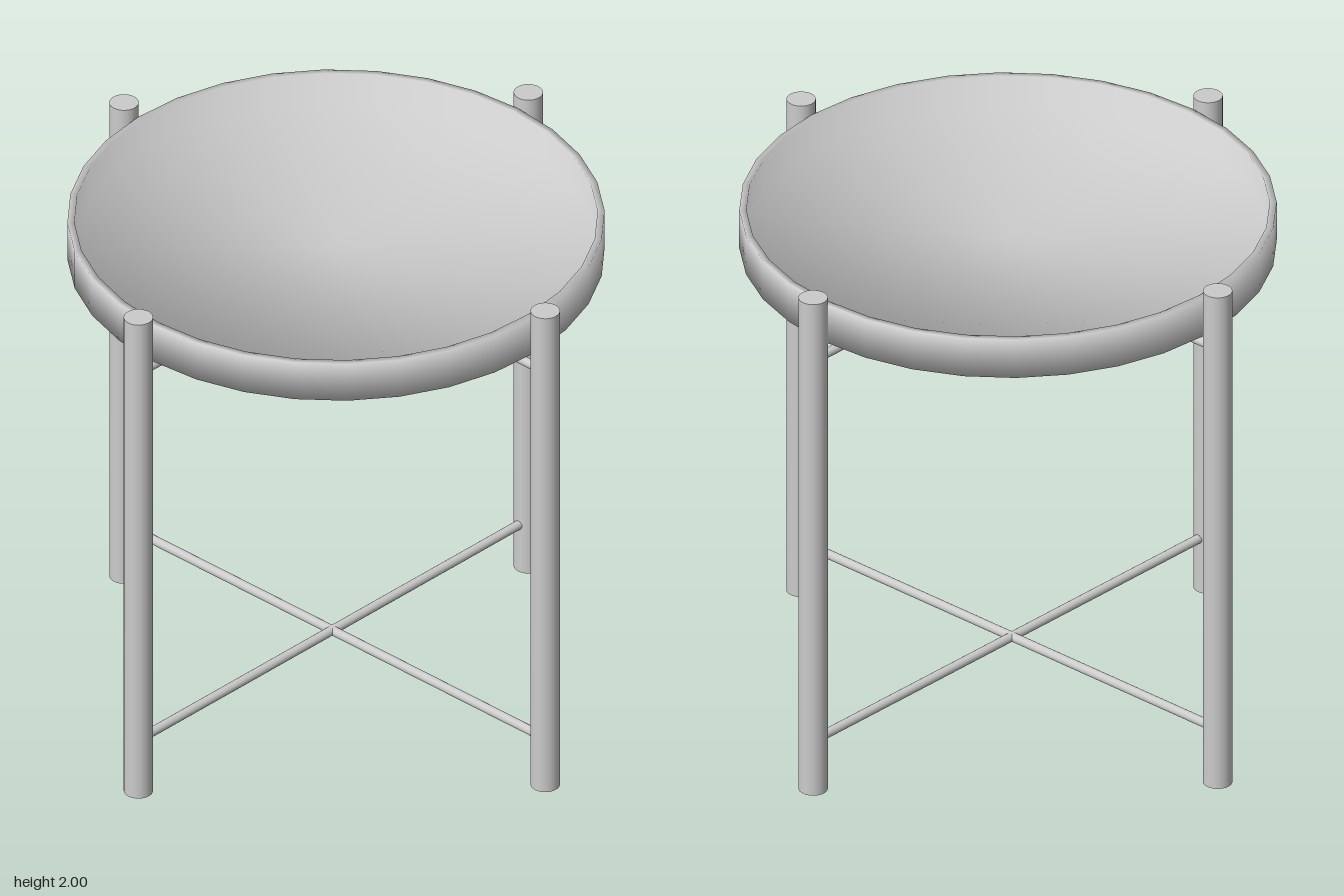
import * as THREE from 'three';

const material = new THREE.MeshStandardMaterial({ color: 0xcccccc });

// Round bar running between two points
function bar(name, from, to, radius, sides) {
  const a = new THREE.Vector3(...from);
  const b = new THREE.Vector3(...to);
  const mesh = new THREE.Mesh(new THREE.CylinderGeometry(radius, radius, a.distanceTo(b), sides), material);
  mesh.position.addVectors(a, b).multiplyScalar(0.5);
  mesh.quaternion.setFromUnitVectors(new THREE.Vector3(0, 1, 0), b.sub(a).normalize());
  mesh.name = name;
  return mesh;
}

// Shallow round tray with a thin upright rim and softly shaded corners
function createTray() {
  // radius, height, then the outward direction of the normal
  const profile = [
    [0, 1.8, 0, -1],
    [0.95, 1.8, 1, -1],
    [0.95, 1.955, 1, 1],
    [0.925, 1.955, -1, 1],
    [0.925, 1.825, -1, 1],
    [0, 1.825, 0, 1],
  ];
  const geometry = new THREE.LatheGeometry(profile.map(([r, y]) => new THREE.Vector2(r, y)), 32);
  const normal = new THREE.Vector3();
  for (let i = 0; i < geometry.attributes.normal.count; i++) {
    const [, , out, up] = profile[i % profile.length];
    const angle = Math.floor(i / profile.length) / 32 * Math.PI * 2;
    normal.set(out * Math.sin(angle), up, out * Math.cos(angle)).normalize();
    geometry.attributes.normal.setXYZ(i, normal.x, normal.y, normal.z);
  }
  const tray = new THREE.Mesh(geometry, material);
  tray.name = 'tray';
  return tray;
}

export function createModel() {
  const model = new THREE.Group();
  model.name = 'trayTable';
  model.add(createTray());

  // Four round legs touching the tray rim
  const feet = {
    frontLeft: [0.71, 0.705],
    frontRight: [-0.728, 0.685],
    backLeft: [0.71, -0.705],
    backRight: [-0.72, -0.7],
  };
  for (const [corner, [x, z]] of Object.entries(feet)) {
    model.add(bar(corner + 'Leg', [x, 0, z], [x, 2, z], 0.052, 32));
  }

  // Crossed stretchers below the tray and near the floor, slightly sloping
  for (const [level, y] of [['upper', 1.754], ['lower', 0.205]]) {
    for (const [start, end] of [['frontRight', 'backLeft'], ['backRight', 'frontLeft']]) {
      const [x0, z0] = feet[start];
      const [x1, z1] = feet[end];
      model.add(bar(level + 'Stretcher', [x0, y + 0.01, z0], [x1, y - 0.01, z1], 0.017, 16));
    }
  }
  return model;
}
